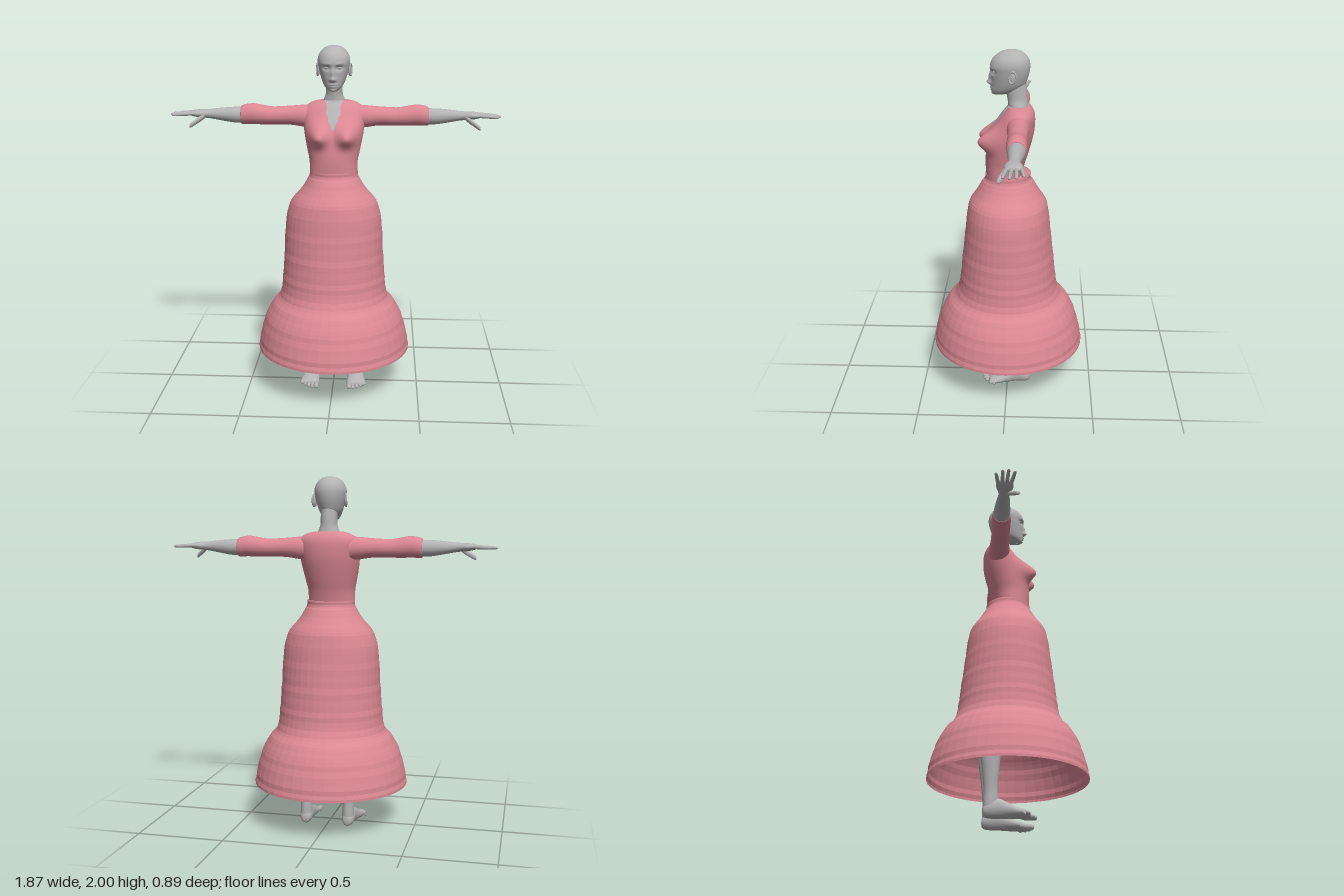
import * as THREE from 'three';

const skin = new THREE.MeshStandardMaterial({ color: 0xb3b3b3, side: THREE.DoubleSide });
skin.name = 'grey skin';
const cloth = new THREE.MeshStandardMaterial({ color: 0xdb8893, side: THREE.DoubleSide });
cloth.name = 'rose cloth';

// Smooth interpolation through rows of numbers; t counts rows
function sample(rows, t) {
  const i = Math.min(Math.floor(t), rows.length - 2), f = t - i;
  const row = (k) => rows[Math.max(0, Math.min(rows.length - 1, k))];
  const [a, b, c, d] = [row(i - 1), row(i), row(i + 1), row(i + 2)];
  return b.map((p, k) => p + 0.5 * f * (c[k] - a[k]
    + f * (2 * a[k] - 5 * p + 4 * c[k] - d[k] + f * (3 * (p - c[k]) + d[k] - a[k]))));
}

// Rings along an axis. Row: [x, y, z, radius, radius], radii in the order of AXES
const AXES = { x: ['y', 'z'], y: ['z', 'x'], z: ['x', 'y'] };
function loft(rows, axis, { sides = 20, sub = 4, deform = null } = {}) {
  const [u, v] = AXES[axis], pos = [], index = [], n = (rows.length - 1) * sub;
  for (let i = 0; i <= n; i++) {
    const [x, y, z, ru, rv] = sample(rows, i / sub);
    for (let j = 0; j < sides; j++) {
      const a = (j / sides) * Math.PI * 2, p = new THREE.Vector3(x, y, z);
      p[u] += Math.max(ru, 0.0005) * Math.cos(a);
      p[v] += Math.max(rv, 0.0005) * Math.sin(a);
      if (deform) deform(p, i);
      pos.push(p.x, p.y, p.z);
      if (i === n) continue;
      const k = i * sides + j, m = i * sides + (j + 1) % sides;
      index.push(k, m, m + sides, k, m + sides, k + sides);
    }
  }
  const g = new THREE.BufferGeometry();
  g.setAttribute('position', new THREE.Float32BufferAttribute(pos, 3));
  g.setIndex(index);
  g.computeVertexNormals();
  return g;
}

// Mirror image across x, with corner order restored
function mirrored(geometry) {
  const g = geometry.clone().scale(-1, 1, 1), ix = g.index.array;
  for (let i = 0; i < ix.length; i += 3) [ix[i], ix[i + 1]] = [ix[i + 1], ix[i]];
  g.computeVertexNormals();
  return g;
}

const bump = (x, y, cx, cy, sx, sy) => Math.exp(-(((x - cx) / sx) ** 2) - ((y - cy) / sy) ** 2);

// Rounded finger, toe or thumb from a to b
function digit(a, b, r, axis) {
  const at = (t, s) => [...a.map((p, k) => p + (b[k] - p) * t), r * s, r * s];
  return loft([at(0, 0.9), at(0.3, 1), at(0.6, 0.92), at(0.88, 0.82), at(0.97, 0.5), at(1, 0)],
    axis, { sides: 10, sub: 2 });
}

export function createModel() {
  const model = new THREE.Group();
  const add = (name, g, mat) => {
    const mesh = new THREE.Mesh(g, mat);
    mesh.name = name;
    model.add(mesh);
  };
  const pair = (name, g, mat) => {
    add(name + 'Left', g, mat);
    add(name + 'Right', mirrored(g), mat);
  };

  // Skirt: faceted bell with faint horizontal bands
  const skirtRows = [
    [0.24, 0.445, 0.443], [0.3, 0.436, 0.434], [0.4, 0.412, 0.408], [0.47, 0.382, 0.38], [0.52, 0.35, 0.348],
    [0.56, 0.316, 0.31], [0.62, 0.303, 0.287], [0.7, 0.296, 0.276], [0.8, 0.288, 0.265], [0.9, 0.283, 0.253],
    [1.0, 0.276, 0.242], [1.08, 0.262, 0.232], [1.14, 0.235, 0.216], [1.2, 0.182, 0.176], [1.25, 0.152, 0.148],
    [1.275, 0.139, 0.13], [1.305, 0.136, 0.128],
  ].map(([y, rx, rz]) => [0, y, 0, rz, rx]);
  const skirt = loft(skirtRows, 'y', {
    sides: 44, sub: 3,
    deform: (p, i) => {
      const s = 1 + 0.006 * Math.sin(i * 2.3) * Math.sin(i * 0.7);
      p.x *= s;
      p.z *= s;
    },
  }).toNonIndexed();
  skirt.computeVertexNormals();
  add('skirt', skirt, cloth);
  add('waistTop', new THREE.CircleGeometry(1, 44).rotateX(-Math.PI / 2)
    .scale(0.134, 1, 0.126).translate(0, 1.303, 0), cloth);

  // Bodice, shaped over the bust
  const torso = [
    [1.29, 0.022, 0.1, 0.135], [1.36, 0.016, 0.11, 0.136], [1.42, 0.005, 0.118, 0.148], [1.5, -0.015, 0.12, 0.164],
    [1.56, -0.03, 0.117, 0.172], [1.62, -0.05, 0.1, 0.174], [1.655, -0.06, 0.085, 0.163], [1.682, -0.064, 0.066, 0.125],
    [1.694, -0.06, 0.056, 0.072], [1.688, -0.055, 0.04, 0.04],
  ].map(([y, z, rz, rx]) => [0, y, z, rz, rx]);
  const bust = (p) => {
    const sy = p.y < 1.505 ? 0.05 : 0.062;
    p.z += 0.076 * bump(Math.abs(p.x), p.y, 0.083, 1.505, 0.056, sy) * THREE.MathUtils.smoothstep(p.z, -0.03, 0.05);
  };
  add('bodice', loft(torso, 'y', { sides: 72, sub: 6, deform: bust }), cloth);

  // Keyhole neckline: thin skin panel following the chest; rows are [torso row, half width]
  const opening = [[3.65, 0.002], [3.9, 0.012], [4.2, 0.014], [4.45, 0.028], [4.8, 0.026], [5, 0.038],
    [5.5, 0.041], [6, 0.037], [6.5, 0.04], [7, 0.046], [7.5, 0.05], [8, 0.054]];
  const cols = 10, rowsN = (opening.length - 1) * 3;
  const panel = new THREE.PlaneGeometry(1, 1, cols, rowsN), pp = panel.attributes.position;
  for (let i = 0; i <= rowsN; i++) {
    const k = Math.min(Math.floor(i / 3), opening.length - 2), f = i / 3 - k;
    const t = THREE.MathUtils.lerp(opening[k][0], opening[k + 1][0], f);
    const w = THREE.MathUtils.lerp(opening[k][1], opening[k + 1][1], f);
    const [, y, z, rz, rx] = sample(torso, t);
    for (let j = 0; j <= cols; j++) {
      const x = (j / cols * 2 - 1) * w;
      const p = new THREE.Vector3(x, y, z + rz * Math.sqrt(1 - (x / rx) ** 2));
      bust(p);
      pp.setXYZ((rowsN - i) * (cols + 1) + j, p.x, p.y + 0.002, p.z + 0.003);
    }
  }
  panel.computeVertexNormals();
  add('necklinePanel', panel, skin);

  // Sleeves with turned-in cuffs
  pair('sleeve', loft([
    [0.13, 1.6, -0.06, 0.066, 0.062], [0.18, 1.602, -0.06, 0.062, 0.06], [0.25, 1.604, -0.06, 0.054, 0.054],
    [0.35, 1.602, -0.06, 0.051, 0.052], [0.41, 1.606, -0.06, 0.056, 0.053], [0.47, 1.611, -0.061, 0.059, 0.054],
    [0.525, 1.605, -0.062, 0.054, 0.05], [0.53, 1.604, -0.062, 0.042, 0.042],
  ], 'x', { sides: 28 }), cloth);

  // Forearm and palm
  pair('forearmAndPalm', loft([
    [0.5, 1.603, -0.062, 0.046, 0.046], [0.57, 1.604, -0.061, 0.045, 0.045], [0.64, 1.607, -0.059, 0.037, 0.038],
    [0.7, 1.609, -0.057, 0.028, 0.031], [0.735, 1.61, -0.056, 0.024, 0.034], [0.775, 1.611, -0.056, 0.022, 0.046],
    [0.81, 1.612, -0.058, 0.016, 0.045], [0.825, 1.612, -0.058, 0.008, 0.038], [0.828, 1.612, -0.058, 0, 0],
  ], 'x'), skin);

  // Fingers: [base x, base z, tip x, tip z]
  [[0.8, -0.092, 0.9, -0.107], [0.805, -0.07, 0.927, -0.073], [0.805, -0.047, 0.935, -0.042], [0.8, -0.025, 0.92, -0.008]]
    .forEach(([bx, bz, tx, tz], i) =>
      pair('finger' + (i + 1), digit([bx, 1.613, bz], [tx, 1.607, tz], 0.0105, 'x'), skin));
  pair('thumb', digit([0.735, 1.602, -0.035], [0.818, 1.546, 0.016], 0.016, 'x'), skin);

  // Legs
  pair('leg', loft([
    [0.125, 0.04, -0.097, 0.04, 0.033], [0.125, 0.1, -0.096, 0.04, 0.034], [0.126, 0.16, -0.097, 0.038, 0.033],
    [0.127, 0.26, -0.098, 0.046, 0.041], [0.126, 0.4, -0.098, 0.06, 0.054], [0.122, 0.54, -0.07, 0.058, 0.054],
    [0.112, 0.75, -0.05, 0.08, 0.074], [0.1, 0.98, -0.03, 0.095, 0.088], [0.09, 1.12, -0.01, 0.09, 0.07],
  ], 'y'), skin);

  // Feet and toes
  pair('foot', loft([
    [0.124, 0.042, -0.14, 0, 0], [0.124, 0.042, -0.134, 0.022, 0.028], [0.125, 0.05, -0.105, 0.036, 0.046],
    [0.126, 0.057, -0.06, 0.038, 0.054], [0.13, 0.045, -0.01, 0.043, 0.043], [0.135, 0.032, 0.04, 0.052, 0.03],
    [0.139, 0.025, 0.085, 0.056, 0.022], [0.14, 0.021, 0.105, 0.05, 0.014], [0.14, 0.02, 0.11, 0, 0],
  ], 'z'), skin);
  for (let i = 0; i < 5; i++) {
    const x = 0.097 + i * 0.022, r = i ? 0.0125 : 0.017;
    pair('toe' + (i + 1), digit([x, 0.021, 0.07], [x + 0.002, r, 0.148 - 0.004 * i * i], r, 'z'), skin);
  }

  // Neck
  add('neck', loft([
    [0, 1.66, -0.06, 0.058, 0.064], [0, 1.695, -0.056, 0.055, 0.06], [0, 1.73, -0.052, 0.055, 0.048],
    [0, 1.78, -0.046, 0.058, 0.047], [0, 1.84, -0.04, 0.055, 0.045],
  ], 'y', { sides: 28 }), skin);

  // Head: skull rows [y, front z, back z, half width], then face relief
  const skull = [
    [1.753, 0.058, 0.04, 0], [1.757, 0.08, 0.01, 0.022], [1.775, 0.088, -0.045, 0.046], [1.805, 0.09, -0.088, 0.063],
    [1.84, 0.092, -0.106, 0.075], [1.88, 0.095, -0.117, 0.085], [1.92, 0.096, -0.12, 0.09], [1.955, 0.08, -0.11, 0.08],
    [1.982, 0.046, -0.085, 0.057], [1.995, 0.015, -0.055, 0.032], [2.0, -0.02, -0.02, 0],
  ].map(([y, f, b, w]) => [0, y, (f + b) / 2, (f - b) / 2, w]);
  const face = (p) => {
    if (p.z < 0.02) return;
    const x = Math.abs(p.x);
    p.z += 0.022 * bump(x, p.y, 0, 1.822, 0.014, 0.013) + 0.013 * bump(x, p.y, 0, 1.85, 0.011, 0.026)
      + 0.006 * bump(x, p.y, 0.014, 1.817, 0.008, 0.008) - 0.014 * bump(x, p.y, 0.034, 1.883, 0.02, 0.013)
      + 0.005 * bump(x, p.y, 0.035, 1.904, 0.025, 0.008) + 0.009 * bump(x, p.y, 0, 1.794, 0.02, 0.005)
      + 0.008 * bump(x, p.y, 0, 1.781, 0.017, 0.005) + 0.006 * bump(x, p.y, 0, 1.762, 0.018, 0.009);
  };
  add('head', loft(skull, 'y', { sides: 80, sub: 8, deform: face }), skin);
  pair('eyelid', new THREE.SphereGeometry(1, 16, 10).scale(0.015, 0.008, 0.01).translate(0.034, 1.883, 0.071), skin);

  // Ears: shell with raised rim
  pair('ear', new THREE.SphereGeometry(1, 16, 12).scale(0.008, 0.032, 0.02)
    .rotateY(-0.3).rotateX(-0.15).translate(0.087, 1.864, -0.026), skin);
  pair('earRim', new THREE.TorusGeometry(0.024, 0.005, 8, 20).rotateY(Math.PI / 2).scale(1, 1.3, 0.8)
    .rotateY(-0.3).rotateX(-0.15).translate(0.092, 1.866, -0.027), skin);

  return model;
}
